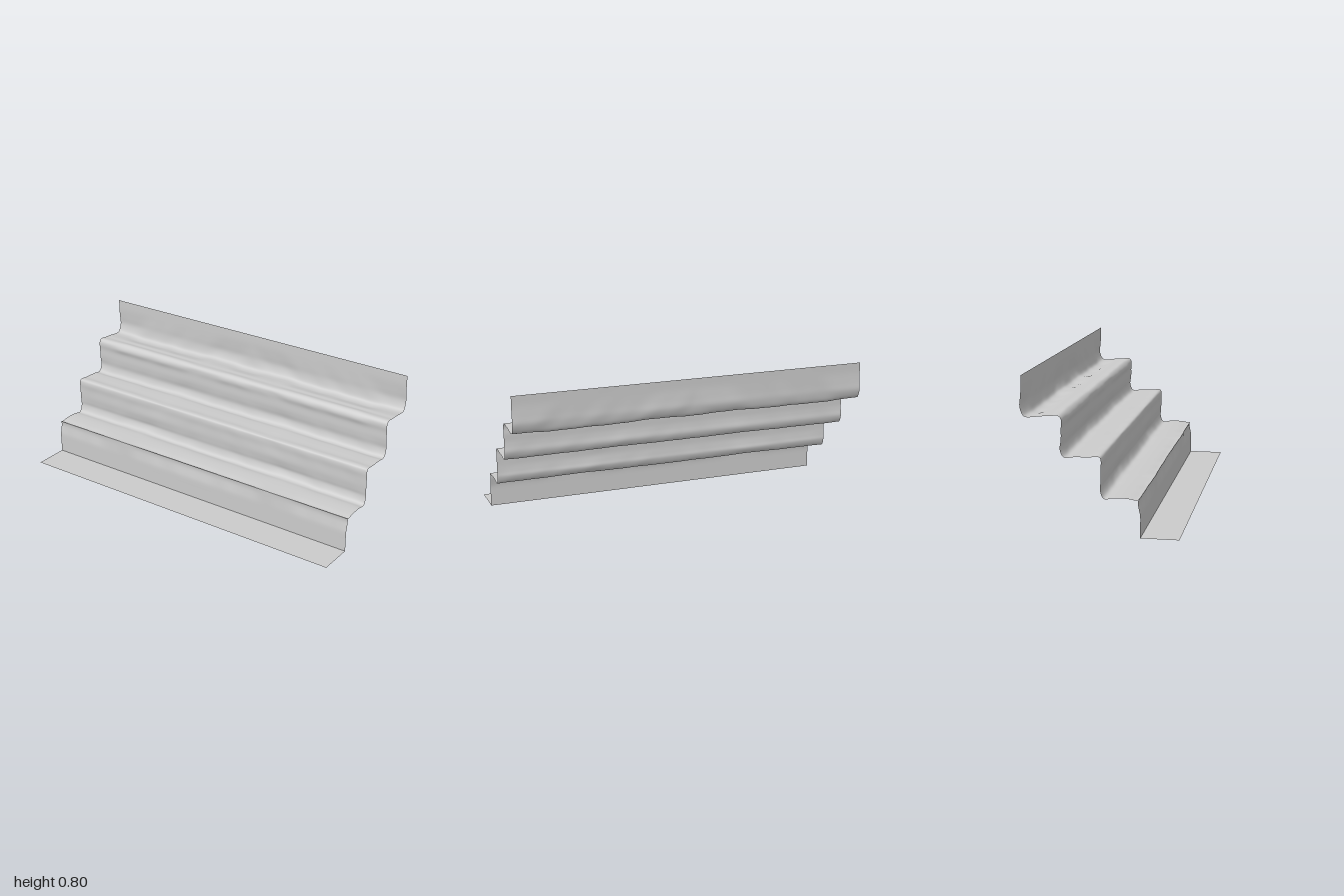
import * as THREE from 'three';

const COLUMNS = 160;

// Soft ripple along the width, mirrored about the centre, from 0 to 1
function ripple(x, phase) {
  const a = Math.abs(x);
  const s = 0.55 * Math.sin(7 * a + phase) + 0.3 * Math.sin(17 * a + 2.1 * phase) + 0.15 * Math.sin(41 * a + 3.7 * phase);
  return 0.5 + 0.5 * s;
}

// Sweeps a profile of [z, y, rippleZ, rippleY] across the width
function sheet(name, profile, material, perSpan, phase) {
  const curve = (i) => new THREE.CatmullRomCurve3(
    profile.map((p) => new THREE.Vector3(0, p[i + 1] || 0, p[i] || 0)), false, 'catmullrom', 0.5);
  const base = curve(0), sway = curve(2);
  const rows = (profile.length - 1) * perSpan;
  const positions = [], indices = [];
  for (let r = 0; r <= rows; r++) {
    const p = base.getPoint(r / rows), d = sway.getPoint(r / rows);
    for (let c = 0; c <= COLUMNS; c++) {
      const x = -1 + (2 * c) / COLUMNS;
      const w = ripple(x, phase(p));
      positions.push(x, p.y + d.y * w, p.z + d.z * w);
      if (r < rows && c < COLUMNS) {
        const a = r * (COLUMNS + 1) + c, b = a + COLUMNS + 1;
        indices.push(a, a + 1, b, a + 1, b + 1, b);
      }
    }
  }
  const geometry = new THREE.BufferGeometry();
  geometry.setAttribute('position', new THREE.Float32BufferAttribute(positions, 3));
  geometry.setIndex(indices);
  geometry.computeVertexNormals();
  const mesh = new THREE.Mesh(geometry, material);
  mesh.name = name;
  return mesh;
}

export function createModel() {
  const group = new THREE.Group();
  group.name = 'drapedStairs';
  const material = new THREE.MeshStandardMaterial({ color: 0xcccccc, side: THREE.DoubleSide });
  const edgePhase = () => 1;
  const foldPhase = (p) => 1 + 6 * (p.y - 0.2);

  // Flat strip on the floor in front of the stairs
  group.add(sheet('floorStrip', [[0.4, 0], [0.204, 0]], material, 1, edgePhase));

  // Bottom riser, flat below and dented under its sharp top edge
  group.add(sheet('bottomRiser', [
    [0.204, 0], [0.204, 0.06], [0.204, 0.11],
    [0.204, 0.14, -0.006], [0.204, 0.17, -0.013], [0.204, 0.19, -0.012], [0.204, 0.2, -0.008, -0.004],
  ], material, 3, edgePhase));

  // Cloth over the upper steps, with rounded noses and soft inner corners
  group.add(sheet('drapedSteps', [
    // first tread
    [0.204, 0.2, -0.008, -0.004], [0.185, 0.2, 0, -0.01], [0.15, 0.2, 0, -0.003], [0.1, 0.2],
    [0.06, 0.199, 0, -0.002], [0.03, 0.196, 0, -0.006], [0.01, 0.205, 0.003, -0.003],
    // second riser and tread
    [-0.005, 0.235, 0.008], [0, 0.262, 0.004], [0.006, 0.3], [0.003, 0.345, 0.004],
    [0.003, 0.38, 0.007], [0, 0.399, 0.004, 0.003], [-0.016, 0.402, 0, 0.006], [-0.05, 0.4, 0, 0.002],
    [-0.1, 0.4], [-0.14, 0.399, 0, -0.002], [-0.168, 0.396, 0, -0.006], [-0.189, 0.404, 0.003, -0.002],
    // third riser and tread
    [-0.203, 0.436, 0.007], [-0.197, 0.47, 0.003], [-0.193, 0.5], [-0.193, 0.54],
    [-0.192, 0.57, 0.008], [-0.194, 0.59, 0.004], [-0.205, 0.602, 0, 0.004], [-0.222, 0.604, 0, 0.005],
    [-0.25, 0.601], [-0.28, 0.6], [-0.31, 0.598, 0, -0.008], [-0.34, 0.595, 0, -0.014],
    [-0.37, 0.594, 0, -0.01], [-0.388, 0.606, 0.003, -0.005],
    // top riser
    [-0.402, 0.645, 0.011], [-0.398, 0.69, 0.006], [-0.393, 0.745], [-0.393, 0.8],
  ], material, 4, foldPhase));

  return group;
}
